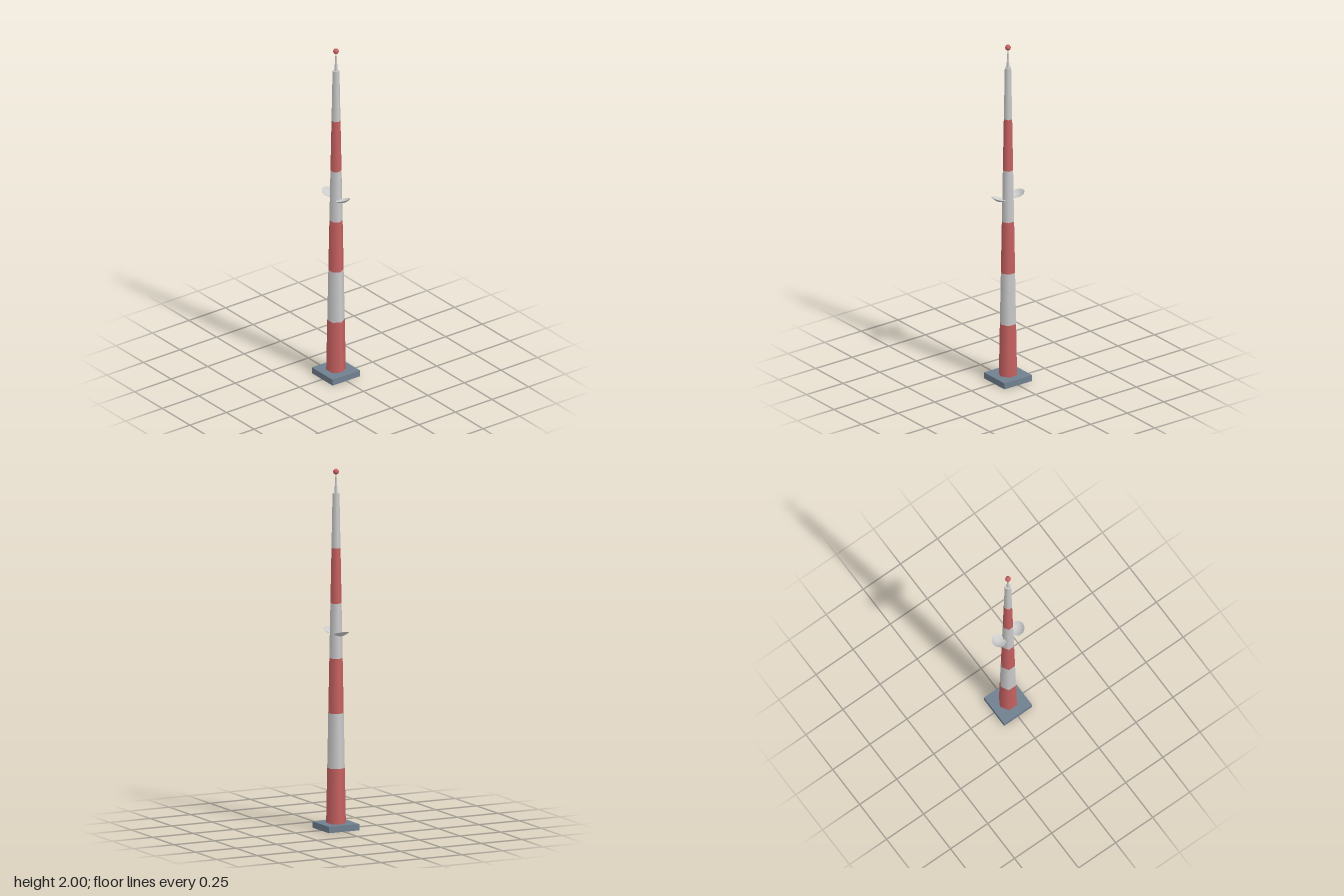
import * as THREE from 'three';

const grey = new THREE.MeshStandardMaterial({ color: 0xcccccc });
const red = new THREE.MeshStandardMaterial({ color: 0xc96262 });
const slate = new THREE.MeshStandardMaterial({ color: 0x708090 });
const dishGrey = new THREE.MeshStandardMaterial({ color: 0xcccccc, side: THREE.DoubleSide });

export function createModel() {
  const model = new THREE.Group();
  model.name = 'radioMast';

  function add(name, geometry, material, x = 0, y = 0, z = 0) {
    const mesh = new THREE.Mesh(geometry, material);
    mesh.name = name;
    mesh.position.set(x, y, z);
    model.add(mesh);
    return mesh;
  }

  // Square foundation slab
  const baseH = 0.035;
  add('base', new THREE.BoxGeometry(0.188, baseH, 0.188), slate, 0, baseH / 2, 0);

  // Tapered six-sided mast in alternating bands, corners on the x axis
  const bands = 6, topY = 1.865, bandH = (topY - baseH) / bands;
  const radiusAt = (t) => THREE.MathUtils.lerp(0.054, 0.019, t);
  for (let i = 0; i < bands; i++) {
    const last = i === bands - 1;
    const band = new THREE.CylinderGeometry(
      radiusAt((i + 1) / bands), radiusAt(i / bands), bandH, 6, 1, !last);
    band.rotateY(Math.PI / 6);
    add('mastBand' + (i + 1), band, i % 2 ? grey : red, 0, baseH + bandH * (i + 0.5), 0);
  }

  // Thin spike and warning light
  const spike = new THREE.CylinderGeometry(0.003, 0.009, 0.11, 6);
  spike.rotateY(Math.PI / 6);
  add('spike', spike, grey, 0, topY + 0.055, 0);
  add('warningLight', new THREE.SphereGeometry(0.016, 12, 8), red, 0, 1.984, 0);

  // Shallow dishes, one on each side, outer rim raised
  const rim = 0.042, depth = 0.016, profile = [];
  for (let i = 0; i <= 4; i++) {
    const r = (i / 4) * rim;
    profile.push(new THREE.Vector2(r, depth * ((r / rim) ** 2 - 1)));
  }
  const dishShape = new THREE.LatheGeometry(profile, 10);
  dishShape.rotateY(Math.PI / 10 * 5);
  for (const side of [1, -1]) {
    const dish = add(side > 0 ? 'leftDish' : 'rightDish', dishShape, dishGrey, side * 0.063, 1.097, 0);
    dish.rotation.z = side * 0.34;
  }

  return model;
}
